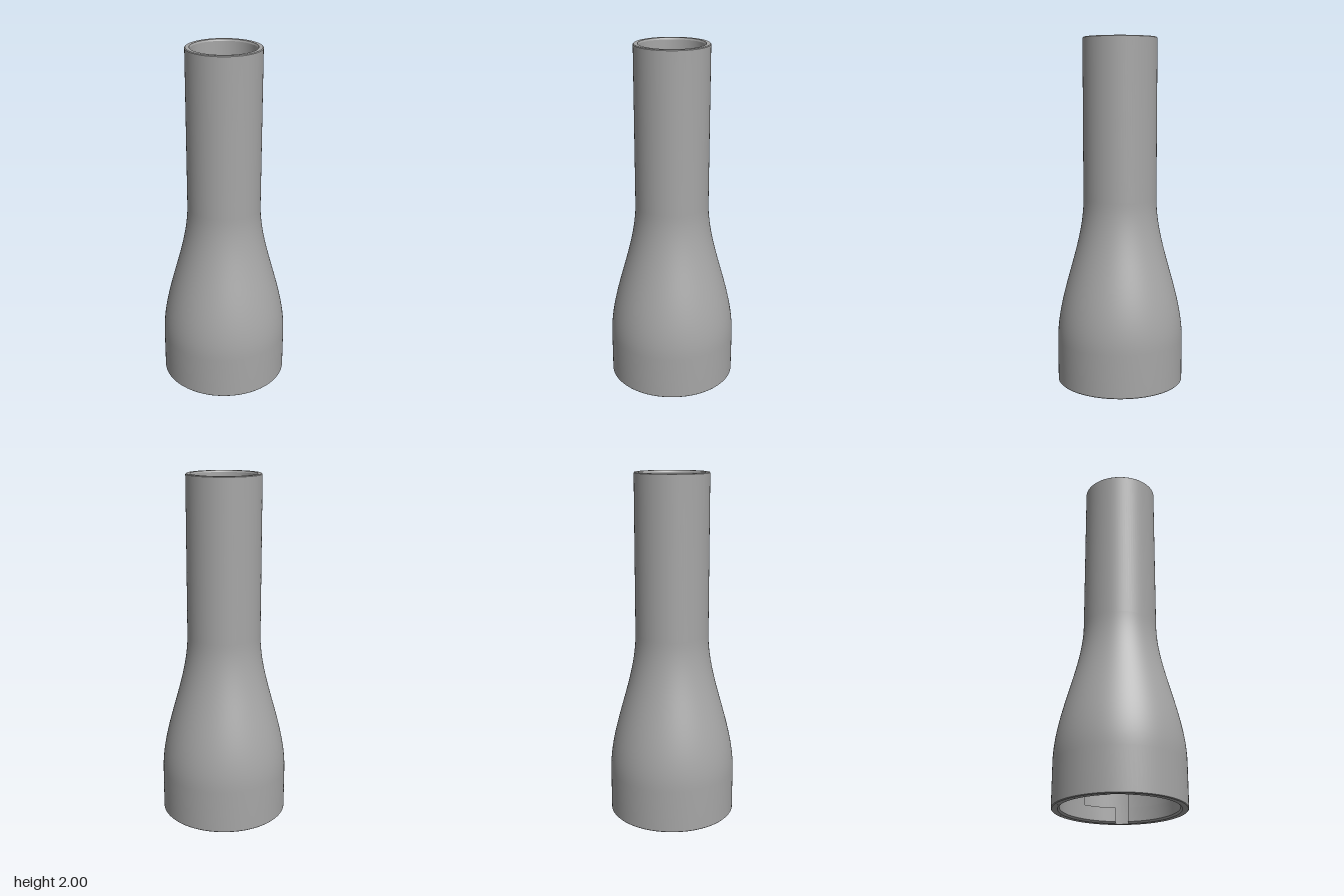
import * as THREE from 'three';
import { toCreasedNormals } from 'three/addons/utils/BufferGeometryUtils.js';

const SEGMENTS = 96;
const LUG_TOP = 0.18;   // height of the slotted zone inside the socket
const ARM_LOW = 0.09;   // underside of the locking arm of each slot
const BORE = 0.322;     // socket bore radius
const RECESS = 0.344;   // radius at the bottom of the slots

const v = (r, y) => new THREE.Vector2(r, y);

// Smooth S-curve between the wide and the narrow end
function flare(rWide, rNarrow, y0, y1, steps = 24) {
  const pts = [];
  for (let i = 0; i <= steps; i++) {
    const t = i / steps;
    const s = t * t * (3 - 2 * t);
    pts.push(v(rWide + (rNarrow - rWide) * s, y0 + (y1 - y0) * t));
  }
  return pts;
}

function lathe(points, start = 0, length = Math.PI * 2, segments = SEGMENTS) {
  return toCreasedNormals(new THREE.LatheGeometry(points, segments, start, length), 0.35);
}

export function createModel() {
  const group = new THREE.Group();
  const grey = new THREE.MeshStandardMaterial({ color: 0xa6a6a6, side: THREE.DoubleSide });

  const add = (geometry, name, parent = group) => {
    const mesh = new THREE.Mesh(geometry, grey);
    mesh.name = name;
    parent.add(mesh);
  };

  // Hollow body: outside going up, rim, then inside going down
  const profile = [
    v(RECESS, 0), v(0.363, 0), v(0.367, 0.004),
    ...flare(0.367, 0.212, 0.25, 1.08),
    v(0.212, 1.996), v(0.208, 2), v(0.187, 2), v(0.183, 1.99),
    ...flare(BORE, 0.175, 0.25, 1.08).reverse(),
    v(BORE, LUG_TOP), v(RECESS, LUG_TOP), v(RECESS, 0),
  ];
  add(lathe(profile), 'tubeBody');

  // Part-ring of the socket lining, closed at both ends
  function lining(points, fromDeg, toDeg, name, parent) {
    const a = THREE.MathUtils.degToRad(fromDeg);
    const b = THREE.MathUtils.degToRad(toDeg);
    add(lathe([...points, points[0]], a, b - a, Math.ceil((toDeg - fromDeg) / 4)), name, parent);
    for (const angle of [a, b]) {
      const end = new THREE.ShapeGeometry(new THREE.Shape(points));
      end.rotateY(angle - Math.PI / 2);
      add(end, name + 'End', parent);
    }
  }

  const lower = [v(0.332, 0), v(RECESS, 0), v(RECESS, ARM_LOW), v(BORE, ARM_LOW), v(BORE, 0.01)];
  const upper = [v(BORE, ARM_LOW), v(RECESS, ARM_LOW), v(RECESS, LUG_TOP), v(BORE, LUG_TOP)];

  // Two opposite L-shaped bayonet slots are left open between the linings
  for (const turn of [0, 180]) {
    const half = new THREE.Group();
    half.name = 'bayonetLining';
    lining(lower, 92 + turn, 259 + turn, 'lowerLining', half);
    lining(upper, 125 + turn, 259 + turn, 'upperLining', half);
    group.add(half);
  }

  return group;
}
